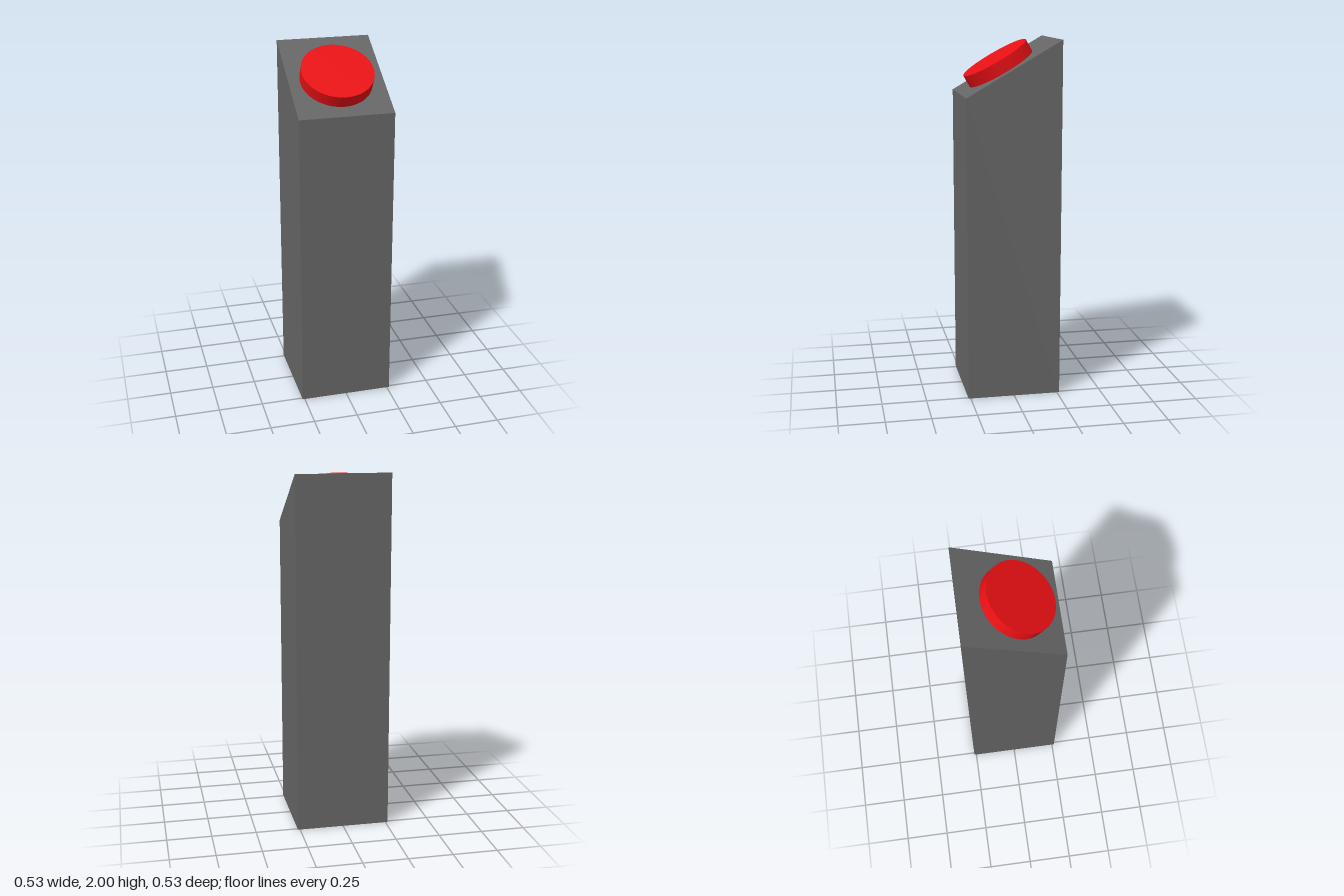
import * as THREE from 'three';

const HALF = 0.263;          // half width of the square post
const TILT = Math.PI / 6;    // slope of the top face
const BACK_TOP = 2;
const FRONT_TOP = BACK_TOP - 2 * HALF * Math.tan(TILT);

export function createModel() {
  const model = new THREE.Group();
  model.name = 'buttonPedestal';

  // Post: side profile (z, y) with a slanted top, extruded across x
  const profile = new THREE.Shape([
    new THREE.Vector2(-HALF, 0),
    new THREE.Vector2(HALF, 0),
    new THREE.Vector2(HALF, FRONT_TOP),
    new THREE.Vector2(-HALF, BACK_TOP),
  ]);
  const postGeometry = new THREE.ExtrudeGeometry(profile, { depth: 2 * HALF, bevelEnabled: false });
  postGeometry.translate(0, 0, -HALF).rotateY(-Math.PI / 2);
  const post = new THREE.Mesh(postGeometry, new THREE.MeshStandardMaterial({ color: 0x666666 }));
  post.name = 'post';
  model.add(post);

  // Button: round disc resting on the slanted face, slightly towards the front
  const height = 0.071;
  const baseZ = 0.028;
  const baseY = (FRONT_TOP + BACK_TOP) / 2 - baseZ * Math.tan(TILT);
  const buttonGeometry = new THREE.CylinderGeometry(0.2, 0.2, height, 64);
  buttonGeometry.translate(0, height / 2, 0);
  const button = new THREE.Mesh(buttonGeometry, new THREE.MeshStandardMaterial({ color: 0xe81014 }));
  button.name = 'button';
  button.position.set(0, baseY, baseZ);
  button.rotation.x = TILT;
  model.add(button);

  return model;
}
